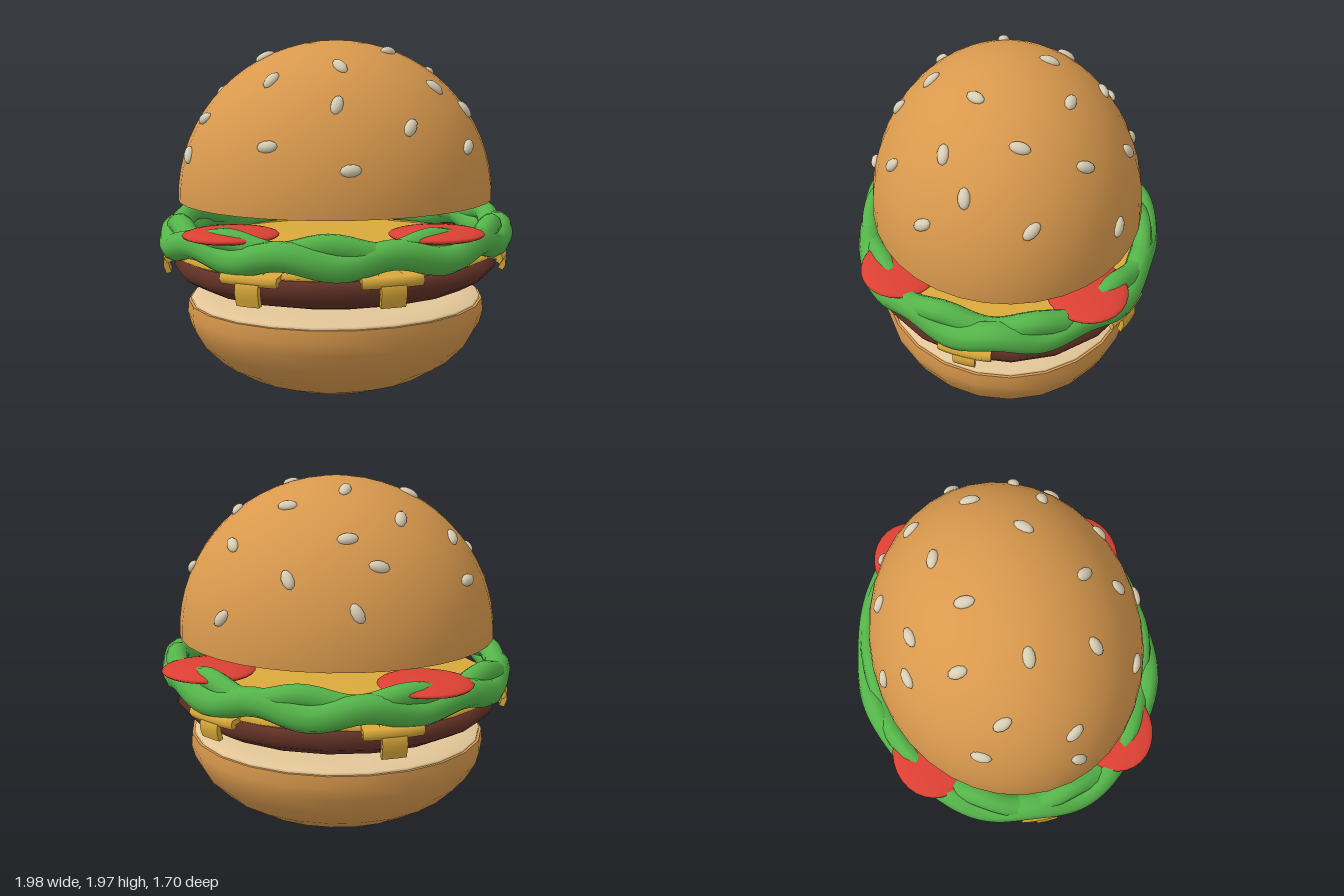
import * as THREE from 'three';

const DEPTH = 0.86; // the whole stack is oval: narrower in z than in x
const mat = (name, color, side = THREE.FrontSide) => {
  const m = new THREE.MeshStandardMaterial({ color, side });
  m.name = name;
  return m;
};

export function createModel() {
  const bun = mat('bun crust', 0xd9994d, THREE.DoubleSide);
  const crumb = mat('bun crumb', 0xe3c698);
  const meat = mat('patty brown', 0x633227);
  const cheese = mat('cheese yellow', 0xdaa93a);
  const leaf = mat('lettuce green', 0x55b54a);
  const red = mat('tomato red', 0xdc4033);
  const seedColor = mat('sesame', 0xd8ceb4);

  const model = new THREE.Group();
  model.name = 'burger';
  const stack = new THREE.Group();
  stack.name = 'stack';
  stack.scale.z = DEPTH;
  model.add(stack);

  const add = (name, geometry, material, parent = stack) => {
    const mesh = new THREE.Mesh(geometry, material);
    mesh.name = name;
    parent.add(mesh);
    return mesh;
  };
  // Profiles run from the bottom up as [radius, y]
  const lathe = (name, profile, material, segments = 32) =>
    add(name, new THREE.LatheGeometry(profile.map(p => new THREE.Vector2(...p)), segments), material);

  // Bottom bun: rounded bowl with a flat cut face
  lathe('bottomBun', [[0, 0], [0.2, 0.012], [0.37, 0.045], [0.53, 0.105], [0.67, 0.19],
    [0.77, 0.29], [0.825, 0.39], [0.842, 0.46], [0.835, 0.53]], bun, 24);
  lathe('bottomBunRim', [[0.835, 0.53], [0, 0.531]], bun, 24);
  lathe('bottomBunCrumb', [[0.82, 0.53], [0.82, 0.545], [0.72, 0.566], [0, 0.574]], crumb, 24);

  // Patty
  lathe('patty', [[0, 0.57], [0.48, 0.573], [0.62, 0.59], [0.77, 0.63], [0.87, 0.685],
    [0.91, 0.735], [0.885, 0.79], [0.8, 0.812], [0, 0.82]], meat, 20);

  // Cheese slice with melted drips around its edge
  lathe('cheeseSlice', [[0, 0.8], [0.88, 0.795], [0.91, 0.81], [0.88, 0.83], [0, 0.845]], cheese);
  const drip = (name, degrees, width, bottom) => {
    const middle = Math.max(bottom + 0.03, 0.755);
    const path = new THREE.CatmullRomCurve3([
      new THREE.Vector3(0.94, bottom, 0), new THREE.Vector3(0.955, middle, 0),
      new THREE.Vector3(0.92, 0.808, 0), new THREE.Vector3(0.83, 0.825, 0)]);
    const g = new THREE.BoxGeometry(width, 1, 0.03, 6, 8, 1);
    const pos = g.attributes.position;
    for (let i = 0; i < pos.count; i++) {
      const t = pos.getY(i) + 0.5;
      const p = path.getPoint(t), d = path.getTangent(t);
      const r = p.x + d.y * pos.getZ(i);
      const a = Math.PI / 2 - THREE.MathUtils.degToRad(degrees) + pos.getX(i) / 0.93;
      pos.setXYZ(i, r * Math.sin(a), p.y - d.x * pos.getZ(i), r * Math.cos(a));
    }
    g.computeVertexNormals();
    add(name, g, cheese);
  };
  for (const [angle, bottom] of [[17, 0.72], [79, 0.67], [124, 0.665], [181, 0.695], [249, 0.665], [310, 0.69]]) {
    drip('cheeseShoulder', angle, 0.32, 0.775);
    drip('cheeseDrip', angle, 0.13, bottom);
  }

  // Lettuce: two wavy frills lying over each other
  const frill = (name, radius, y, thickness, phase) => {
    const points = [];
    for (let i = 0; i < 80; i++) {
      const a = (i / 80) * Math.PI * 2;
      const r = radius + 0.012 * Math.sin(7 * a + phase);
      points.push(new THREE.Vector3(r * Math.cos(a), y + 0.026 * Math.sin(10 * a + phase), r * Math.sin(a)));
    }
    const curve = new THREE.CatmullRomCurve3(points, true);
    add(name, new THREE.TubeGeometry(curve, 120, thickness, 10, true), leaf);
  };
  frill('lettuceLowerFrill', 0.91, 0.9, 0.078, 0.6);
  frill('lettuceUpperFrill', 0.885, 0.953, 0.062, 3.2);

  // Tomato slices peeking out of the lettuce
  for (const degrees of [56, 139, 232, 325]) {
    const a = THREE.MathUtils.degToRad(degrees);
    const slice = add('tomatoSlice', new THREE.SphereGeometry(0.25, 28, 12), red);
    slice.scale.y = 0.14;
    slice.position.set(0.8 * Math.cos(a), 0.987, 0.8 * Math.sin(a));
  }

  // Top bun: hollow dome
  const dome = { x: 0.877, y: 0.865, z: 0.745, base: 1.1 };
  const topBun = add('topBun', new THREE.SphereGeometry(1, 36, 16, 0, Math.PI * 2, 0, Math.PI / 2), bun, model);
  topBun.scale.set(dome.x, dome.y, dome.z);
  topBun.position.y = dome.base;

  // Sesame seeds: x, z and heading in degrees, laid flat on the dome
  const seeds = new THREE.Group();
  seeds.name = 'sesameSeeds';
  model.add(seeds);
  const seedGeometry = new THREE.SphereGeometry(1, 10, 8).scale(0.055, 0.025, 0.032);
  const places = [
    [-0.15, -0.69, 20], [0.2, -0.62, 50], [-0.25, -0.57, -10], [-0.09, -0.51, -10], [0.55, -0.55, 20],
    [0.51, -0.37, 65], [-0.35, -0.33, 95], [0.23, -0.31, 20], [-0.7, -0.31, -60], [-0.06, -0.22, 100],
    [-0.62, -0.18, 80], [0.53, -0.05, 100], [0.78, -0.1, 60], [-0.39, 0.01, 5], [-0.81, 0.17, 95],
    [-0.72, 0.16, 60], [0.26, 0.16, -45], [0.67, 0.22, 0], [0.48, 0.32, 5], [-0.38, 0.35, -30],
    [-0.03, 0.39, 60], [0.64, 0.43, -60], [-0.07, 0.57, -60], [-0.42, 0.58, 25], [0.3, 0.59, -50],
    [-0.02, 0.715, 0]];
  for (const [x, z, degrees] of places) {
    const h = dome.y * Math.sqrt(Math.max(0.02, 1 - (x / dome.x) ** 2 - (z / dome.z) ** 2));
    const normal = new THREE.Vector3(x / dome.x ** 2, h / dome.y ** 2, z / dome.z ** 2).normalize();
    const a = THREE.MathUtils.degToRad(degrees);
    const along = new THREE.Vector3(Math.cos(a), 0, Math.sin(a));
    along.y = -along.dot(normal) / normal.y;
    along.normalize();
    const across = new THREE.Vector3().crossVectors(along, normal);
    const seed = add('sesameSeed', seedGeometry, seedColor, seeds);
    seed.quaternion.setFromRotationMatrix(new THREE.Matrix4().makeBasis(along, normal, across));
    seed.position.set(x, dome.base + h, z);
  }
  return model;
}
